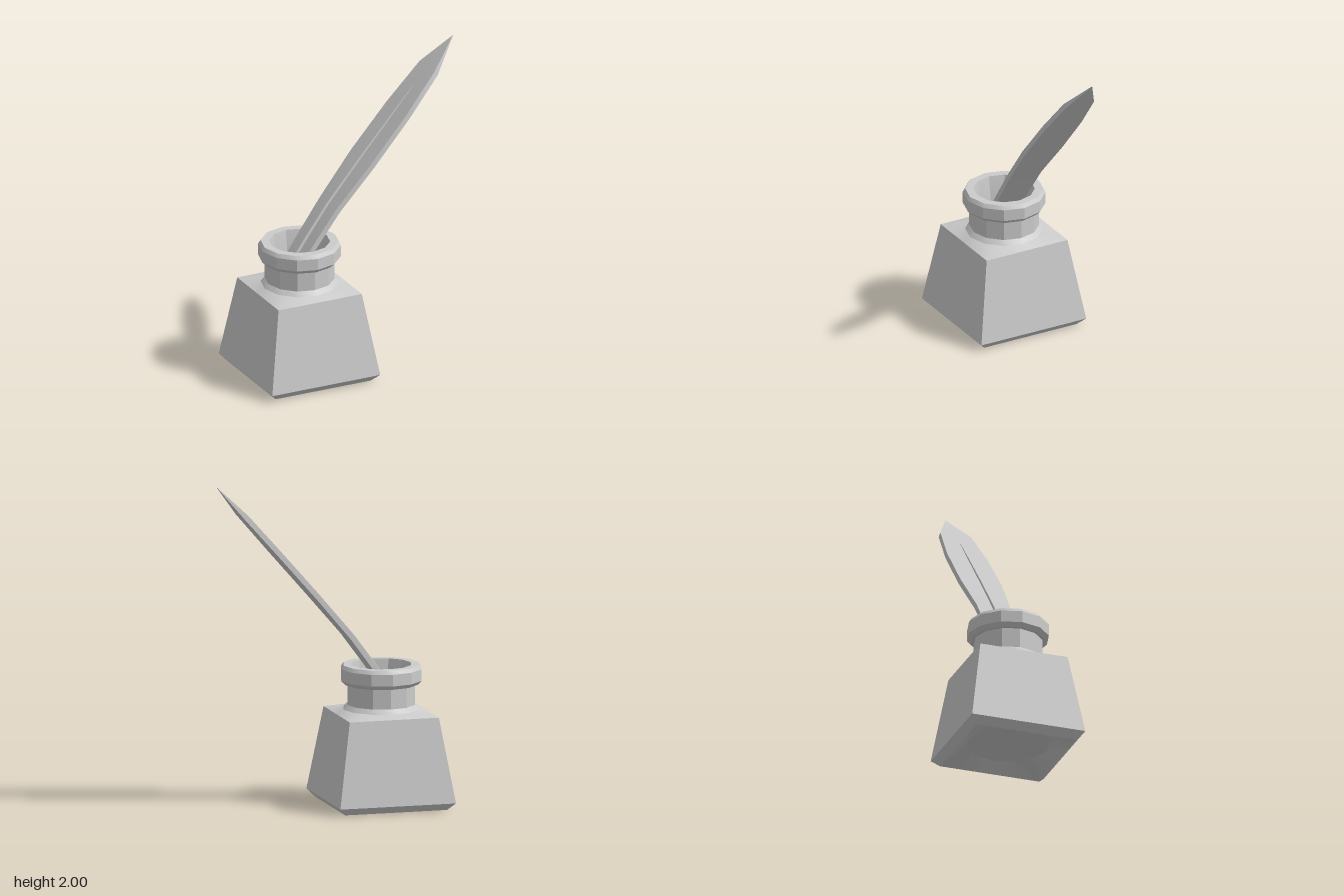
import * as THREE from 'three';
import { toCreasedNormals } from 'three/addons/utils/BufferGeometryUtils.js';

const material = new THREE.MeshStandardMaterial({ color: 0xcccccc });

// Skin a list of equally long closed loops; collapsed loops act as caps.
function loft(loops, name, crease = 0.45) {
  const pos = [];
  const tri = (a, b, c) => {
    const area = b.clone().sub(a).cross(c.clone().sub(a)).length();
    if (area > 1e-7) for (const p of [a, b, c]) pos.push(p.x, p.y, p.z);
  };
  for (let i = 0; i < loops.length - 1; i++) {
    const lo = loops[i], hi = loops[i + 1], n = lo.length;
    for (let j = 0; j < n; j++) {
      const k = (j + 1) % n;
      tri(lo[j], hi[j], hi[k]);
      tri(lo[j], hi[k], lo[k]);
    }
  }
  const geo = new THREE.BufferGeometry();
  geo.setAttribute('position', new THREE.Float32BufferAttribute(pos, 3));
  const mesh = new THREE.Mesh(toCreasedNormals(geo, crease), material);
  mesh.name = name;
  return mesh;
}

// Loops of 24 points on a square or on a 12-sided ring, around the bottle axis.
const STEP = Math.PI / 12;
function bottleLoop(radiusAt, y) {
  return Array.from({ length: 24 }, (_, k) => {
    const a = k * STEP, r = radiusAt(a, k);
    return new THREE.Vector3(r * Math.cos(a), y, r * Math.sin(a));
  });
}
const square = (half, y) =>
  bottleLoop((a) => half / Math.max(Math.abs(Math.cos(a)), Math.abs(Math.sin(a))), y);
const ring = (r, y) => bottleLoop((a, k) => (k % 2 ? r * Math.cos(STEP) : r), y);

// Feather stations: x, y, half width
const STATIONS = [
  [-0.5, 0.51, 0.05], [-0.37, 0.71, 0.1], [-0.265, 0.86, 0.106], [-0.13, 1.045, 0.112],
  [0.09, 1.305, 0.135], [0.33, 1.58, 0.131], [0.535, 1.815, 0.1], [0.7, 2, 0],
];

// Sweep a section, given as [height, side] pairs per station, along the feather.
function sweep(points, section, name) {
  const loops = points.map((p, i) => {
    const a = points[Math.max(i - 1, 0)], b = points[Math.min(i + 1, points.length - 1)];
    const t = new THREE.Vector2(b[0] - a[0], b[1] - a[1]).normalize();
    return section(p, i / (points.length - 1)).map(
      ([h, s]) => new THREE.Vector3(p[0] - t.y * h, p[1] + t.x * h, s));
  });
  const collapsed = (loop) => {
    const c = new THREE.Vector3();
    loop.forEach((p) => c.addScaledVector(p, 1 / loop.length));
    return loop.map(() => c);
  };
  return loft([collapsed(loops[0]), ...loops, collapsed(loops.at(-1))], name, 0.35);
}

export function createModel() {
  const model = new THREE.Group();

  const bottle = new THREE.Group();
  bottle.name = 'inkBottle';
  bottle.position.x = -0.343;
  // Square body with recessed underside, bevelled foot and shoulder
  bottle.add(loft([
    ring(0, 0.06), ring(0.256, 0.06), square(0.32, 0), square(0.363, 0.045),
    square(0.28, 0.56), ring(0.235, 0.585),
  ], 'body'));
  // Neck, lip, inner wall and inner floor
  bottle.add(loft([
    ring(0.235, 0.585), ring(0.21, 0.612), ring(0.21, 0.735), ring(0.225, 0.735),
    ring(0.25, 0.76), ring(0.25, 0.832), ring(0.235, 0.855), ring(0.185, 0.855),
    ring(0.168, 0.74), ring(0.168, 0.5), ring(0, 0.5),
  ], 'neckAndLip'));
  model.add(bottle);

  const quill = new THREE.Group();
  quill.name = 'quill';
  quill.position.z = -0.018;
  // Thin solid vane tapering to a point
  quill.add(sweep(STATIONS, ([, , w]) => {
    const h = w > 0 ? 0.016 : 0;
    return [[h, w * 0.98], [h, -w * 0.98], [-h, -w], [-h, w]];
  }, 'vane'));
  // Raised shaft along the upper face
  const shaft = [...STATIONS.slice(0, 6), [0.445, 1.712, 0]];
  quill.add(sweep(shaft, (p, f) => {
    const s = 0.017 * (1 - f * f * 0.85);
    return [[0.01, s], [0.016 + s, s * 0.5], [0.016 + s, -s * 0.5], [0.01, -s]];
  }, 'shaft'));
  model.add(quill);

  return model;
}
